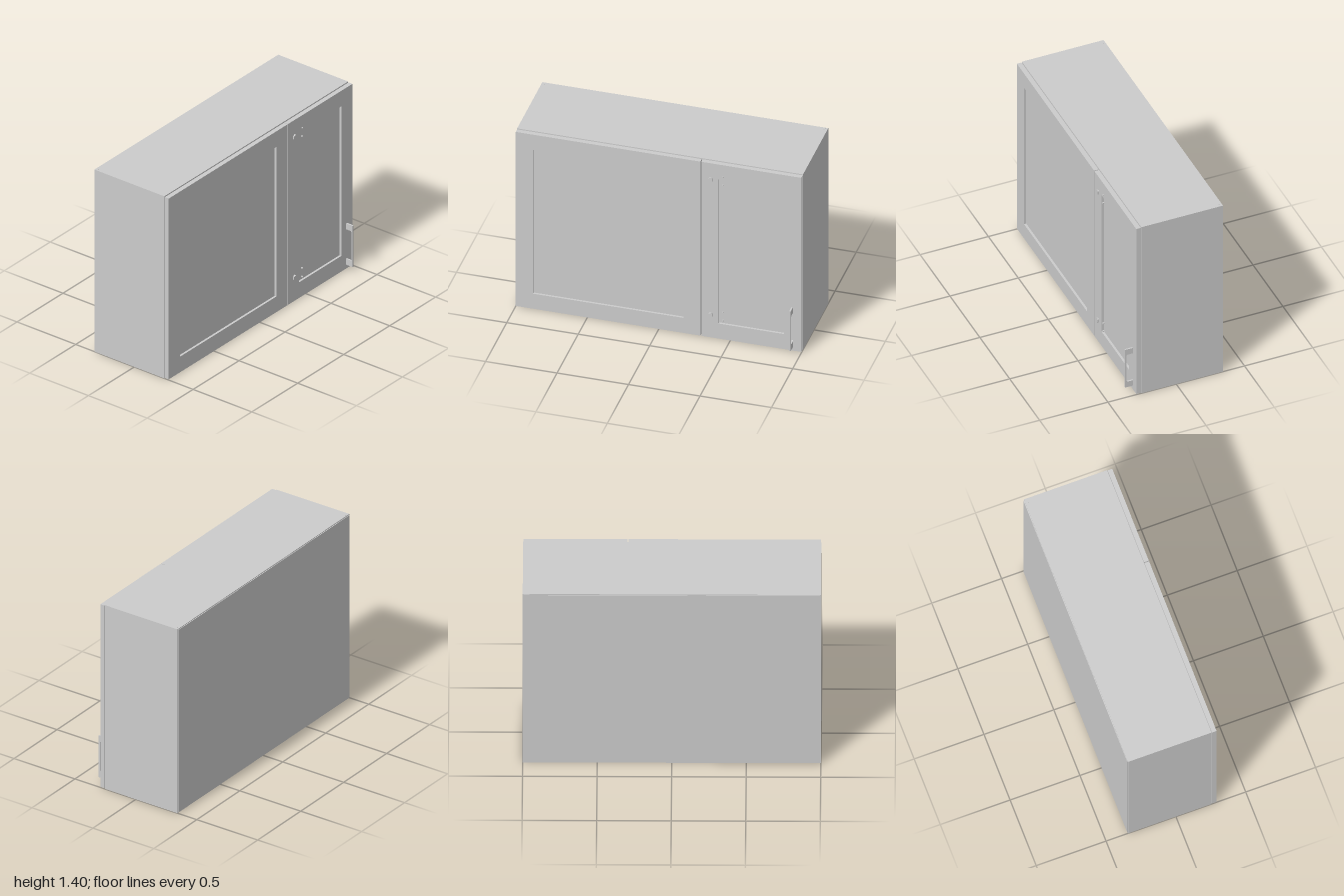
import * as THREE from 'three';

const material = new THREE.MeshStandardMaterial({ color: 0xcccccc });

function addMesh(parent, name, geometry, x = 0, y = 0, z = 0) {
  const mesh = new THREE.Mesh(geometry, material);
  mesh.name = name;
  mesh.position.set(x, y, z);
  parent.add(mesh);
  return mesh;
}

// Box given by its minimum and maximum corners
function addBox(parent, name, [x0, y0, z0], [x1, y1, z1]) {
  return addMesh(parent, name, new THREE.BoxGeometry(x1 - x0, y1 - y0, z1 - z0),
    (x0 + x1) / 2, (y0 + y1) / 2, (z0 + z1) / 2);
}

function rectangle(Type, x0, y0, x1, y1) {
  return new Type([[x0, y0], [x1, y0], [x1, y1], [x0, y1]].map(p => new THREE.Vector2(...p)));
}

function roundedHole(x0, y0, x1, y1, r) {
  const p = new THREE.Path();
  p.absarc(x0 + r, y0 + r, r, Math.PI, Math.PI * 1.5);
  p.absarc(x1 - r, y0 + r, r, -Math.PI / 2, 0);
  p.absarc(x1 - r, y1 - r, r, 0, Math.PI / 2);
  p.absarc(x0 + r, y1 - r, r, Math.PI / 2, Math.PI);
  p.closePath();
  return p;
}

const extrude = (shape, depth) =>
  new THREE.ExtrudeGeometry(shape, { depth, bevelEnabled: false, curveSegments: 6 });

// Framed door with a recessed centre panel
function createDoor(name, x0, x1) {
  const door = new THREE.Group();
  door.name = name;
  const y0 = 0.005, y1 = 1.395, rail = 0.12, back = 0.259, front = 0.292;
  const frame = rectangle(THREE.Shape, x0, y0, x1, y1);
  frame.holes.push(rectangle(THREE.Path, x0 + rail, y0 + rail, x1 - rail, y1 - rail));
  addMesh(door, 'doorFrame', extrude(frame, front - back), 0, 0, back);
  addBox(door, 'doorPanel', [x0 + rail, y0 + rail, back + 0.004], [x1 - rail, y1 - rail, front - 0.016]);
  return door;
}

// Hinge block with its two fixing screws
function createHinge(y) {
  const hinge = new THREE.Group();
  hinge.name = 'hinge';
  const s = new THREE.Shape();
  s.moveTo(-0.012, -0.012);
  s.lineTo(0.006, -0.018);
  s.lineTo(0.012, -0.012);
  s.lineTo(0.012, 0.012);
  s.lineTo(0.006, 0.018);
  s.lineTo(-0.012, 0.012);
  s.closePath();
  addMesh(hinge, 'hingeArm', extrude(s, 0.014), 0.365, 0, 0.288);
  for (const side of [-1, 1]) {
    const screw = addMesh(hinge, 'hingeScrew', new THREE.CylinderGeometry(0.006, 0.006, 0.012, 12),
      0.452, side * 0.033, 0.294);
    screw.rotation.x = Math.PI / 2;
  }
  hinge.position.y = y;
  return hinge;
}

export function createModel() {
  const model = new THREE.Group();
  model.name = 'wallCabinet';

  // Carcass
  const carcass = new THREE.Group();
  carcass.name = 'carcass';
  model.add(carcass);
  const back = -0.341, front = 0.255, t = 0.035;
  for (const side of [-1, 1]) {
    addBox(carcass, 'sidePanel',
      [side < 0 ? -1 : 1 - t, 0, back], [side < 0 ? -1 + t : 1, 1.4, front]);
  }
  addBox(carcass, 'bottomPanel', [-1 + t, 0, back], [1 - t, t, front]);
  addBox(carcass, 'backPanel', [-0.994, 0.006, -0.346], [0.994, 1.394, back]);

  // Top panel, with two small slots for the hanging brackets cut near its back corners
  const top = rectangle(THREE.Shape, -1 + t, -front, 1 - t, -back);
  const topMesh = addMesh(carcass, 'topPanel', extrude(top, t), 0, 1.4 - t, 0);
  topMesh.rotation.x = -Math.PI / 2;
  for (const side of [-1, 1]) {
    addBox(carcass, 'hangingBracket',
      [side * 0.975 - 0.008, 1.39, -0.33], [side * 0.975 + 0.008, 1.401, -0.319]);
  }

  // Doors
  model.add(createDoor('rightDoor', -0.999, 0.293));
  model.add(createDoor('leftDoor', 0.299, 0.999));

  // Hinges
  for (const y of [0.187, 1.267]) model.add(createHinge(y));

  // Flat bow handle, drawn in profile (depth, height) and extruded across
  const profile = rectangle(THREE.Shape, -0.348, 0.035, -0.29, 0.352);
  profile.holes.push(roundedHole(-0.337, 0.08, -0.2905, 0.307, 0.008));
  const handle = addMesh(model, 'doorHandle', extrude(profile, 0.011), 0.93, 0, 0);
  handle.rotation.y = Math.PI / 2;

  return model;
}
